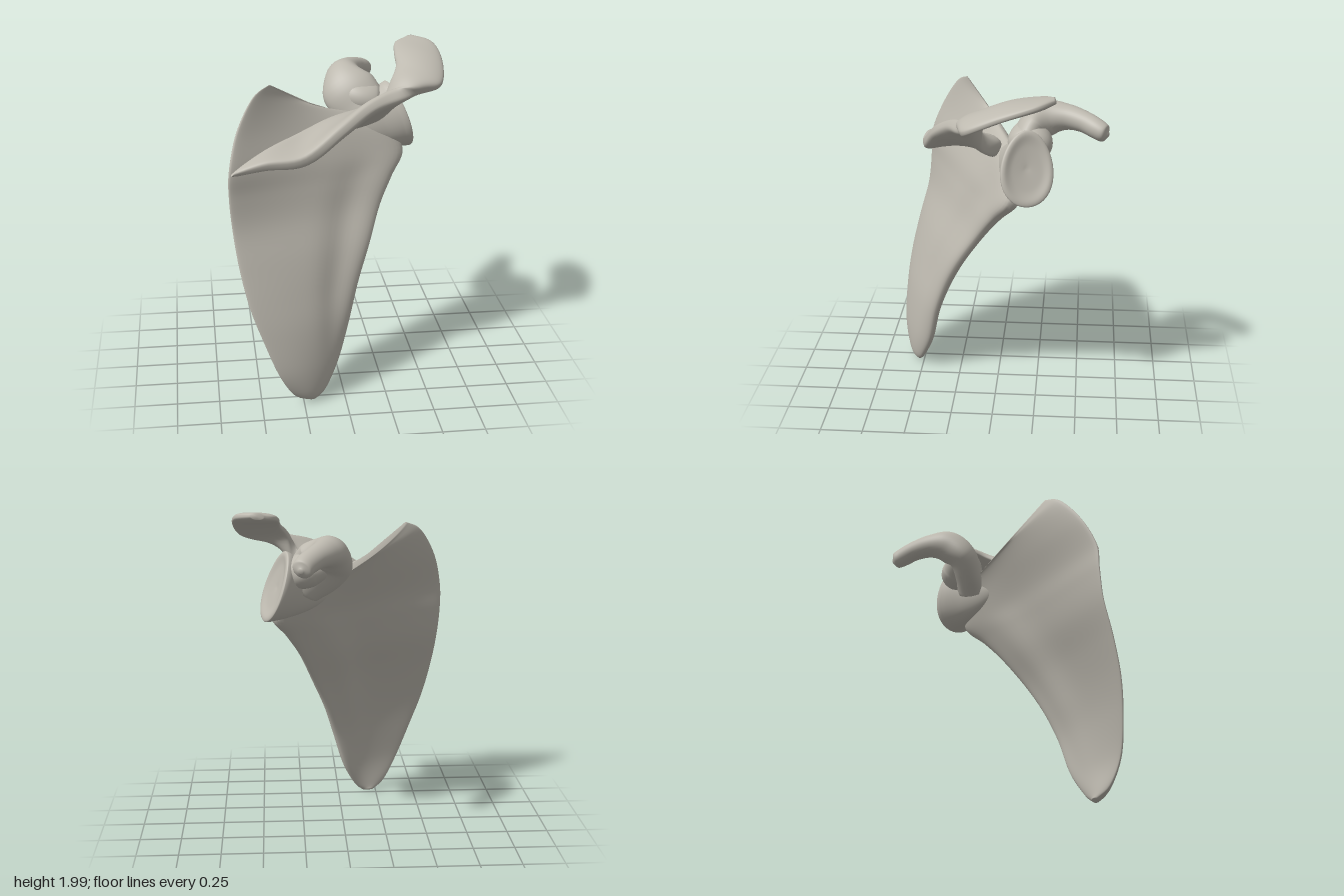
import * as THREE from 'three';

const V = (p) => new THREE.Vector3(p[0], p[1], p[2]);
const curve = (pts) => new THREE.CatmullRomCurve3(pts.map(V), false, 'centripetal');
// uniform interpolation so that several lists of stations stay in step
const along = (pts, t) => {
  const f = t * (pts.length - 1), i = Math.min(Math.floor(f), pts.length - 2), k = f - i;
  const at = (j) => pts[Math.max(0, Math.min(pts.length - 1, j))];
  return pts[0].map((_, c) => {
    const p0 = at(i - 1)[c], p1 = at(i)[c], p2 = at(i + 1)[c], p3 = at(i + 2)[c];
    return p1 + 0.5 * k * (p2 - p0 + k * (2 * p0 - 5 * p1 + 4 * p2 - p3 + k * (3 * (p1 - p2) + p3 - p0)));
  });
};

// closed skin over rings of equal length, capped at both ends
function skin(rings) {
  const n = rings[0].length, pos = [], idx = [];
  rings.forEach((r) => r.forEach((p) => pos.push(p.x, p.y, p.z)));
  for (let i = 0; i < rings.length - 1; i++) {
    for (let j = 0; j < n; j++) {
      const a = i * n + j, b = i * n + (j + 1) % n;
      idx.push(a, b, a + n, b, b + n, a + n);
    }
  }
  [0, rings.length - 1].forEach((r, end) => {
    const c = rings[r].reduce((s, p) => s.add(p), new THREE.Vector3()).divideScalar(n);
    const k = pos.length / 3;
    pos.push(c.x, c.y, c.z);
    for (let j = 0; j < n; j++) {
      const a = r * n + j, b = r * n + (j + 1) % n;
      if (end) idx.push(a, b, k); else idx.push(b, a, k);
    }
  });
  // turn the faces outward
  const P = (i) => new THREE.Vector3().fromArray(pos, i * 3);
  let vol = 0;
  for (let i = 0; i < idx.length; i += 3) vol += P(idx[i]).dot(P(idx[i + 1]).cross(P(idx[i + 2])));
  if (vol < 0) idx.reverse();
  const g = new THREE.BufferGeometry();
  g.setAttribute('position', new THREE.Float32BufferAttribute(pos, 3));
  g.setIndex(idx);
  g.computeVertexNormals();
  return g;
}

// curved plate between two edges; form = [half thickness at a, middle, b, bow, groove near b]
function plate(edgeA, edgeB, form, rows = 64, n = 64) {
  const A = (t) => V(along(edgeA, t)), B = (t) => V(along(edgeB, t));
  const rings = [];
  for (let i = 0; i <= rows; i++) {
    const t = i / rows, a = A(t), b = B(t), [ta, tm, tb, bow, groove] = along(form, t);
    const t0 = Math.max(0, t - 0.03), t1 = Math.min(1, t + 0.03);
    const dir = A(t1).add(B(t1)).sub(A(t0)).sub(B(t0));
    const normal = b.clone().sub(a).cross(dir).normalize();
    const ring = [];
    for (let j = 0; j < n; j++) {
      const q = (j / n) * Math.PI * 2, u = (1 - Math.cos(q)) / 2, s = Math.sin(q);
      const half = tm + (ta - tm) * (1 - u) ** 4 + (tb - tm) * u ** 4;
      const off = Math.sign(s) * Math.abs(s) ** 0.7 * half + bow * 4 * u * (1 - u)
        - groove * Math.exp(-(((u - 0.75) / 0.13) ** 2));
      ring.push(a.clone().lerp(b, u).addScaledVector(normal, off));
    }
    rings.push(ring);
  }
  return skin(rings);
}

// rounded limb along a path; radii = [across, deep], egg narrows one end
function limb(path, radii, hint, { axis = null, egg = 0, rows = 48, n = 40 } = {}) {
  const c = curve(path), rings = [];
  for (let i = 0; i <= rows; i++) {
    const t = i / rows, p = c.getPoint(t), [ru, rv] = along(radii, t);
    const tan = axis ? V(axis).normalize() : c.getTangent(t);
    const u = V(hint).addScaledVector(tan, -V(hint).dot(tan)).normalize();
    const v = tan.clone().cross(u);
    const ring = [];
    for (let j = 0; j < n; j++) {
      const q = (j / n) * Math.PI * 2, s = Math.cos(q);
      ring.push(p.clone().addScaledVector(u, s * ru).addScaledVector(v, Math.sin(q) * rv * (1 - egg * s)));
    }
    rings.push(ring);
  }
  return skin(rings);
}

export function createModel() {
  const group = new THREE.Group();
  const bone = new THREE.MeshStandardMaterial({ color: 0xbdb9af });
  bone.name = 'bone';
  const add = (name, geometry) => {
    const mesh = new THREE.Mesh(geometry, bone);
    mesh.name = name;
    group.add(mesh);
  };

  // broad triangular blade with a groove beside its thick outer border
  add('blade', plate(
    [[-0.23, 0.005, 0.53], [-0.31, 0.06, 0.59], [-0.4, 0.22, 0.635], [-0.49, 0.45, 0.63],
      [-0.56, 0.65, 0.605], [-0.61, 0.87, 0.555], [-0.64, 1.08, 0.5], [-0.655, 1.27, 0.48],
      [-0.65, 1.43, 0.47], [-0.6, 1.63, 0.39], [-0.5, 1.8, 0.29], [-0.4, 1.855, 0.22]],
    [[-0.17, 0.005, 0.52], [-0.11, 0.06, 0.495], [-0.03, 0.22, 0.43], [0.04, 0.45, 0.38],
      [0.1, 0.65, 0.31], [0.18, 0.85, 0.215], [0.26, 1.05, 0.09], [0.345, 1.2, -0.015],
      [0.425, 1.33, -0.12], [0.34, 1.48, -0.14], [0.22, 1.55, -0.14], [0.12, 1.55, -0.13]],
    [[0.015, 0.02, 0.015, 0, 0], [0.02, 0.035, 0.03, 0.01, 0], [0.02, 0.03, 0.05, 0.03, 0],
      [0.02, 0.025, 0.06, 0.035, 0.01], [0.02, 0.02, 0.07, 0.035, 0.02], [0.02, 0.02, 0.075, 0.03, 0.025],
      [0.02, 0.02, 0.08, 0.02, 0.025], [0.025, 0.02, 0.1, 0.01, 0.02], [0.03, 0.02, 0.12, 0, 0.01],
      [0.025, 0.018, 0.1, -0.02, 0], [0.02, 0.015, 0.05, -0.03, 0], [0.012, 0.012, 0.02, -0.035, 0]]));

  // ridge across the blade, sweeping out into the flat shoulder tip
  add('ridgeAndShoulderTip', plate(
    [[-0.645, 1.4, 0.475], [-0.45, 1.45, 0.485], [-0.22, 1.475, 0.48], [0, 1.62, 0.4],
      [0.18, 1.725, 0.29], [0.35, 1.77, 0.21], [0.5, 1.78, 0.18], [0.615, 1.805, 0.14],
      [0.655, 1.89, -0.05], [0.635, 1.955, -0.25], [0.54, 1.975, -0.355]],
    [[-0.635, 1.42, 0.47], [-0.42, 1.5, 0.33], [-0.2, 1.53, 0.15], [0, 1.55, 0.025],
      [0.18, 1.57, -0.02], [0.275, 1.63, 0.06], [0.32, 1.79, 0.06], [0.37, 1.87, -0.03],
      [0.38, 1.92, -0.15], [0.405, 1.95, -0.29], [0.47, 1.965, -0.345]],
    [[0.015, 0.015, 0.01, 0, 0], [0.05, 0.03, 0.04, 0, 0], [0.07, 0.03, 0.07, 0, 0],
      [0.07, 0.035, 0.1, 0, 0], [0.07, 0.04, 0.1, 0, 0], [0.075, 0.045, 0.06, -0.01, 0],
      [0.065, 0.045, 0.04, -0.02, 0], [0.04, 0.04, 0.035, -0.02, 0], [0.035, 0.035, 0.035, -0.015, 0],
      [0.03, 0.03, 0.03, 0, 0], [0.015, 0.02, 0.015, 0, 0]]));

  // neck flaring to the egg-shaped, slightly hollow socket
  add('neckAndSocket', limb(
    [[0.02, 1.47, 0.04], [0.16, 1.48, -0.055], [0.28, 1.505, -0.13], [0.37, 1.53, -0.18],
      [0.41, 1.54, -0.195], [0.417, 1.543, -0.198], [0.405, 1.54, -0.194], [0.397, 1.537, -0.191]],
    [[0.02, 0.01], [0.11, 0.05], [0.17, 0.095], [0.205, 0.142], [0.217, 0.154],
      [0.195, 0.135], [0.13, 0.09], [0.01, 0.01]],
    [-0.13, 0.38, 0], { axis: [0.9, 0.31, -0.31], egg: 0.14, rows: 56 }));

  // hooked beak rising beside the socket and bending forward
  add('hookedBeak', limb(
    [[0.25, 1.53, -0.13], [0.18, 1.61, -0.17], [0.11, 1.7, -0.225], [0.095, 1.75, -0.31],
      [0.125, 1.765, -0.41], [0.185, 1.755, -0.51], [0.24, 1.73, -0.585], [0.262, 1.71, -0.628],
      [0.27, 1.705, -0.648]],
    [[0.13, 0.09], [0.16, 0.09], [0.165, 0.095], [0.115, 0.1], [0.085, 0.075],
      [0.068, 0.062], [0.064, 0.058], [0.055, 0.048], [0.012, 0.012]],
    [1, 0.5, 0]));

  // broad root joining the beak to the top of the socket
  add('beakRoot', limb(
    [[0.06, 1.69, -0.21], [0.1, 1.68, -0.21], [0.19, 1.65, -0.2], [0.26, 1.63, -0.205],
      [0.31, 1.62, -0.205], [0.325, 1.615, -0.205]],
    [[0.02, 0.02], [0.08, 0.09], [0.105, 0.125], [0.105, 0.125], [0.075, 0.09], [0.02, 0.02]],
    [0, 1, 0]));

  return group;
}
